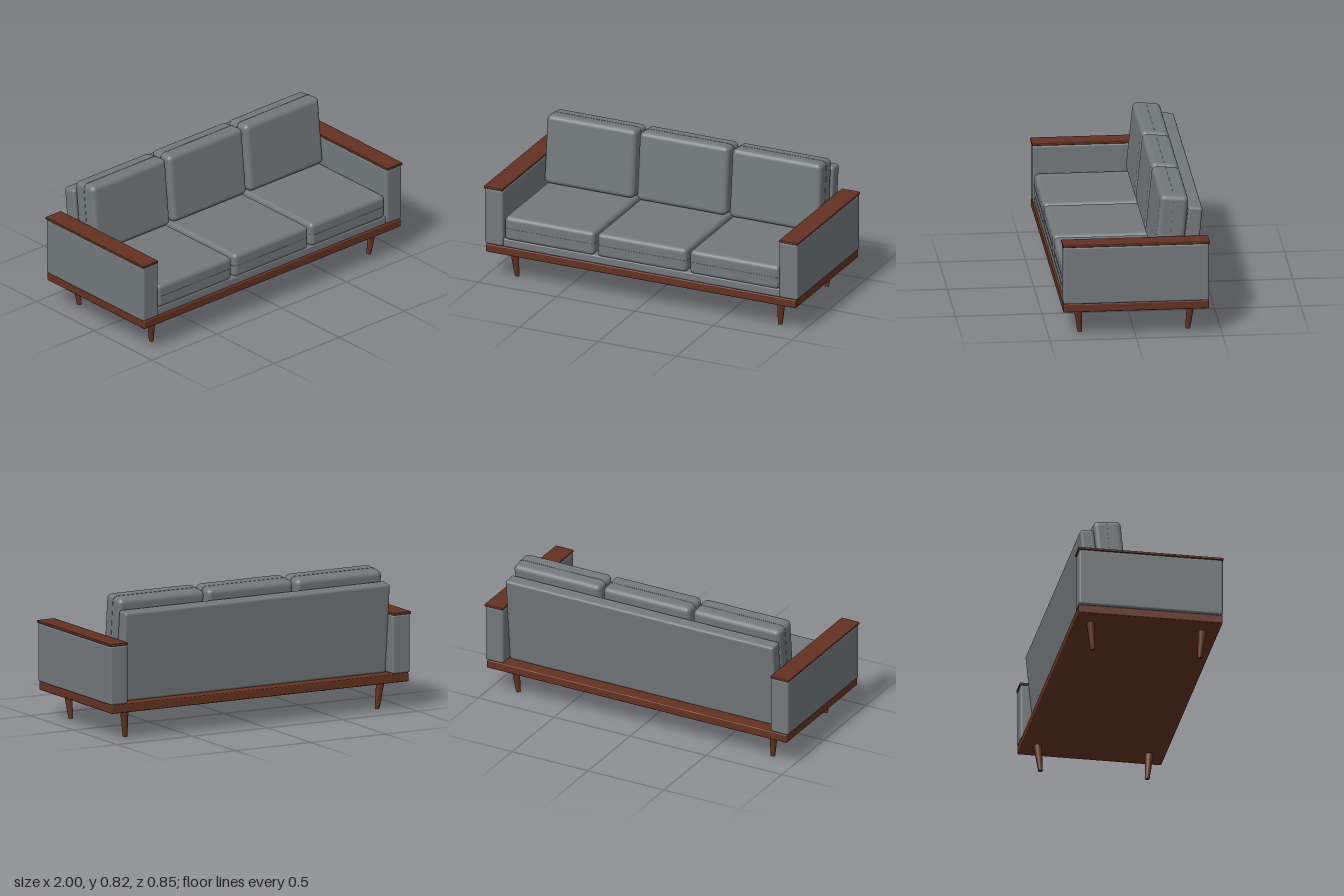
import * as THREE from 'three';
import { RoundedBoxGeometry } from 'three/addons/geometries/RoundedBoxGeometry.js';

export function createModel() {
  const fabric = new THREE.MeshStandardMaterial({ name: 'greyFabric', color: 0x73787b });
  const wood = new THREE.MeshStandardMaterial({ name: 'brownWood', color: 0x643222 });

  const sofa = new THREE.Group();
  sofa.name = 'sofa';

  function add(parent, name, geometry, material, x, y, z) {
    const mesh = new THREE.Mesh(geometry, material);
    mesh.name = name;
    mesh.position.set(x, y, z);
    parent.add(mesh);
    return mesh;
  }
  const rounded = (w, h, d, r) => new RoundedBoxGeometry(w, h, d, 4, r);

  // Thin band following a rounded rectangle, centred on its own depth
  function seamBand(w, h, depth, r) {
    const x = w / 2, y = h / 2;
    const s = new THREE.Shape();
    s.moveTo(-x + r, -y);
    s.lineTo(x - r, -y);
    s.absarc(x - r, -y + r, r, -Math.PI / 2, 0);
    s.lineTo(x, y - r);
    s.absarc(x - r, y - r, r, 0, Math.PI / 2);
    s.lineTo(-x + r, y);
    s.absarc(-x + r, y - r, r, Math.PI / 2, Math.PI);
    s.lineTo(-x, -y + r);
    s.absarc(-x + r, -y + r, r, Math.PI, Math.PI * 1.5);
    const g = new THREE.ExtrudeGeometry(s, { depth, bevelEnabled: false, curveSegments: 5 });
    return g.translate(0, 0, -depth / 2);
  }

  // Wooden base and the upholstered deck above it
  add(sofa, 'baseFrame', rounded(1.976, 0.05, 0.844, 0.006), wood, 0, 0.189, 0);
  add(sofa, 'seatDeck', rounded(1.77, 0.05, 0.71, 0.008), fabric, 0, 0.235, 0.055);

  // Arms with wooden caps
  for (const side of [-1, 1]) {
    const name = side > 0 ? 'left' : 'right';
    add(sofa, name + 'Arm', rounded(0.116, 0.346, 0.844, 0.012), fabric, side * 0.939, 0.388, 0);
    add(sofa, name + 'ArmCap', rounded(0.118, 0.015, 0.85, 0.004), wood, side * 0.941, 0.567, 0);
  }

  // Tapered legs, leaning inwards towards the floor
  for (const sx of [-1, 1]) {
    for (const sz of [-1, 1]) {
      const leg = new THREE.CylinderGeometry(0.025, 0.0135, 0.166, 24);
      leg.applyMatrix4(new THREE.Matrix4().set(
        1, sx * 0.085, 0, 0,
        0, 1, 0, 0,
        0, sz * 0.085, 1, 0,
        0, 0, 0, 1));
      add(sofa, (sz > 0 ? 'front' : 'back') + (sx > 0 ? 'Left' : 'Right') + 'Leg',
        leg, wood, sx * 0.845, 0.083, sz * 0.32);
    }
  }

  // Reclined back panel
  const tilt = -0.1;
  const panel = add(sofa, 'backPanel', rounded(1.762, 0.531, 0.083, 0.015), fabric, 0, 0.479, -0.328);
  panel.rotation.x = tilt;

  // Three seat cushions and three back cushions, each with a seam band
  for (const i of [-1, 0, 1]) {
    const x = i * 0.59;
    const seat = new THREE.Group();
    seat.name = 'seatCushion';
    seat.position.set(x, 0.328, 0.08);
    add(seat, 'seatPad', rounded(0.57, 0.146, 0.67, 0.026), fabric, 0, 0, 0);
    const band = add(seat, 'seatSeam', seamBand(0.573, 0.673, 0.006, 0.027), fabric, 0, 0, 0);
    band.rotation.x = -Math.PI / 2;
    sofa.add(seat);

    const back = new THREE.Group();
    back.name = 'backCushion';
    back.position.set(x, 0.607, -0.215);
    back.rotation.x = tilt;
    add(back, 'backPad', rounded(0.57, 0.415, 0.164, 0.03), fabric, 0, 0, 0);
    add(back, 'backSeam', seamBand(0.573, 0.418, 0.009, 0.031), fabric, 0, 0, 0);
    sofa.add(back);
  }

  return sofa;
}
